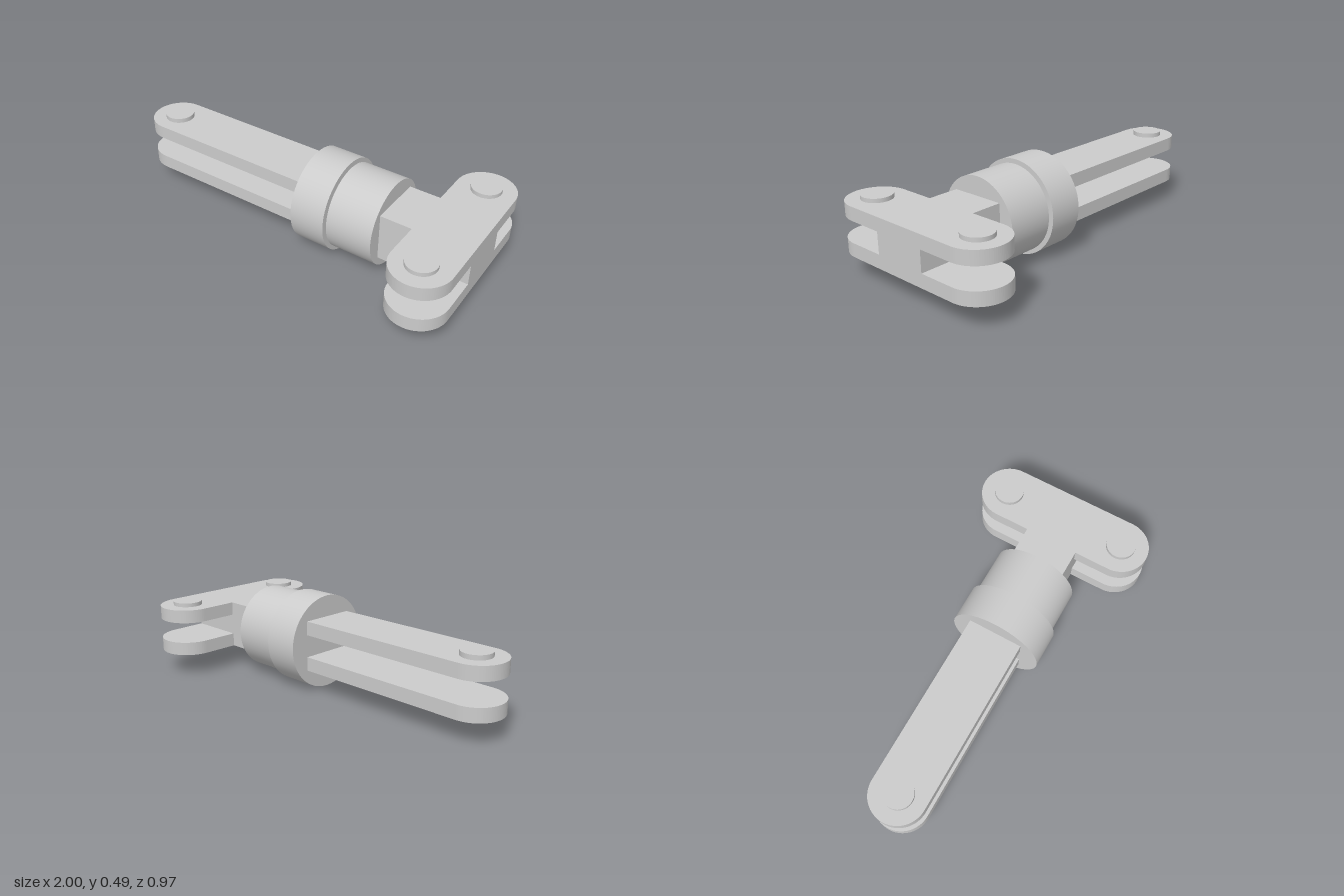
import * as THREE from 'three';

const AXIS_Y = 0.248;

export function createModel() {
  const model = new THREE.Group();
  const material = new THREE.MeshStandardMaterial({ color: 0xcccccc });

  const add = (name, geometry, x = 0, y = 0, z = 0) => {
    const mesh = new THREE.Mesh(geometry, material);
    mesh.name = name;
    mesh.position.set(x, y, z);
    model.add(mesh);
  };

  // Flat plate: shape drawn in x/z, thickness from y0 to y1
  const plate = (name, shape, y0, y1) => {
    const g = new THREE.ExtrudeGeometry(shape, { depth: y1 - y0, bevelEnabled: false, curveSegments: 24 });
    g.rotateX(-Math.PI / 2);
    add(name, g, 0, y0, 0);
  };

  // Cylinder lying along x
  const barrel = (name, r, x0, x1) => {
    const g = new THREE.CylinderGeometry(r, r, x1 - x0, 64);
    g.rotateZ(Math.PI / 2);
    add(name, g, (x0 + x1) / 2, AXIS_Y, 0);
  };

  // Pin head standing on a plate
  const pin = (name, x, z, y0, y1) =>
    add(name, new THREE.CylinderGeometry(0.078, 0.078, y1 - y0, 40), x, (y0 + y1) / 2, z);

  // Swivel collars joined by a narrow neck
  barrel('largeCollar', 0.247, 0.085, 0.275);
  barrel('swivelNeck', 0.14, 0.27, 0.29);
  barrel('smallCollar', 0.225, 0.281, 0.53);

  // Long fork arm with a rounded end
  const arm = new THREE.Shape();
  arm.moveTo(0.085, -0.146);
  arm.lineTo(0.085, 0.146);
  arm.lineTo(-0.854, 0.146);
  arm.absarc(-0.854, 0, 0.146, Math.PI / 2, Math.PI * 1.5, false);
  arm.closePath();

  // Crossbar with rounded ends
  const cx = 0.848, cz = 0.334, r = 0.152;
  const bar = new THREE.Shape();
  bar.moveTo(cx + r, -cz);
  bar.lineTo(cx + r, cz);
  bar.absarc(cx, cz, r, 0, Math.PI, false);
  bar.lineTo(cx - r, -cz);
  bar.absarc(cx, -cz, r, Math.PI, Math.PI * 2, false);

  plate('upperForkArm', arm, 0.31, 0.383);
  plate('lowerForkArm', arm, 0.118, 0.191);
  pin('upperForkPin', -0.85, 0, 0.383, 0.407);
  pin('lowerForkPin', -0.85, 0, 0.096, 0.118);

  plate('upperCrossbar', bar, 0.304, 0.375);
  plate('lowerCrossbar', bar, 0.122, 0.193);
  for (const [side, z] of [['front', cz + 0.003], ['back', -cz - 0.003]]) {
    pin(side + 'UpperCrossbarPin', cx, z, 0.375, 0.396);
    pin(side + 'LowerCrossbarPin', cx, z, 0.101, 0.122);
  }

  // Solid stem between the small collar and the crossbars
  add('stem', new THREE.BoxGeometry(0.47, 0.253, 0.29), 0.765, 0.2485, 0);

  return model;
}
